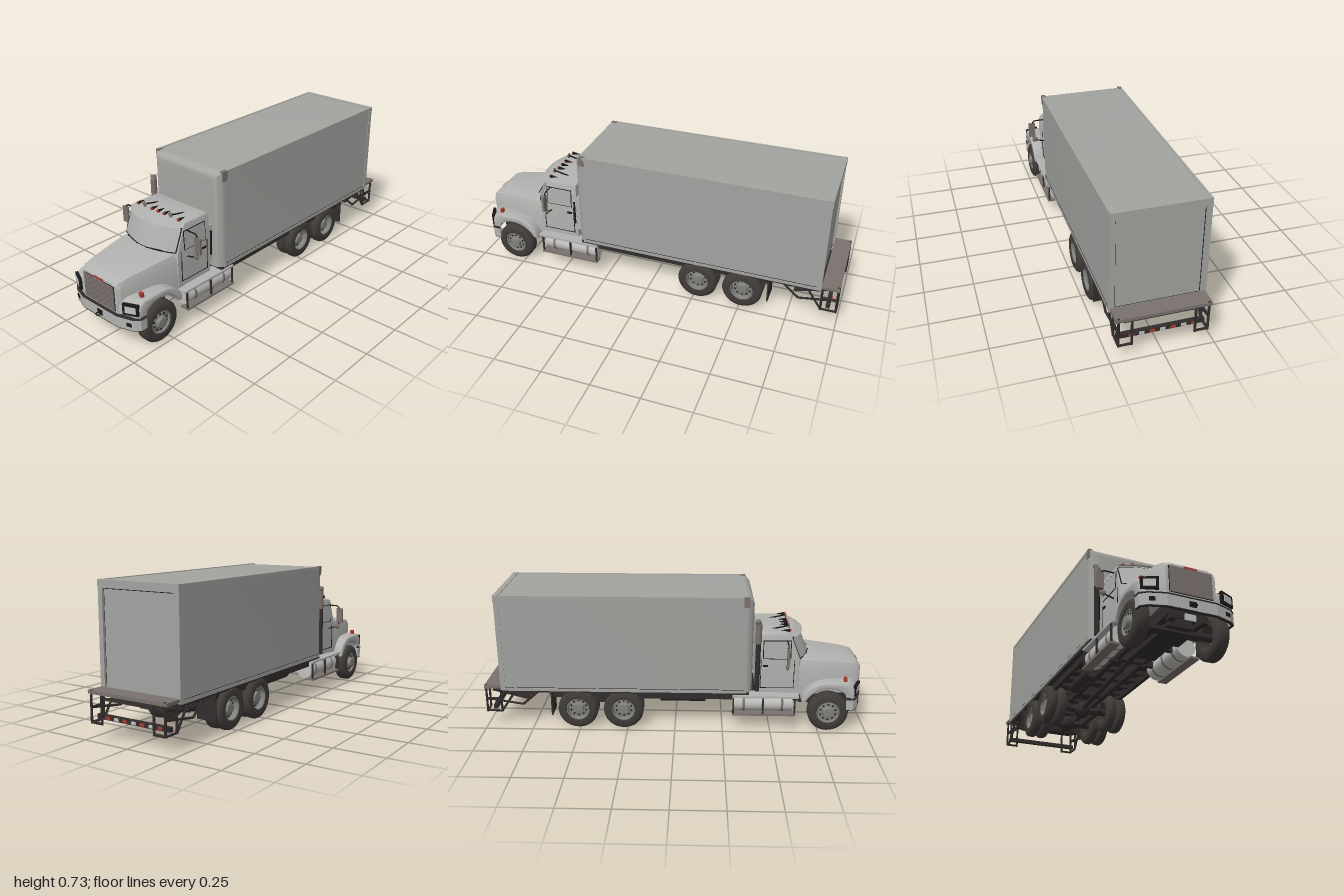
import * as THREE from 'three';
import { mergeGeometries, toCreasedNormals } from 'three/addons/utils/BufferGeometryUtils.js';

const flat = (name, color) => new THREE.MeshStandardMaterial({ name, color });

export function createModel() {
  const paint = flat('cab paint', 0xb2b2b0), panel = flat('cargo panel', 0xa3a3a0);
  const trim = flat('brown trim', 0x7a716d), frame = flat('dark frame', 0x322d2c);
  const rubber = flat('tyre rubber', 0x413c3a), rim = flat('wheel rim', 0x80807d);
  const black = flat('black detail', 0x181818), red = flat('red lamp', 0xa83a30);
  const glass = flat('glass', 0xadadab), steel = flat('bright steel', 0xc0c0be);
  glass.side = black.side = THREE.DoubleSide;

  const truck = new THREE.Group();
  truck.name = 'boxTruck';

  // ---- helpers ----
  const add = (name, geo, mat) => {
    const mesh = new THREE.Mesh(geo, mat);
    mesh.name = name;
    truck.add(mesh);
    return mesh;
  };
  const mirrored = (geo) => {
    const g = geo.index ? geo.toNonIndexed() : geo.clone();
    g.scale(-1, 1, 1);
    for (const a of Object.values(g.attributes)) {
      const n = a.itemSize, arr = a.array;
      for (let i = 0; i < arr.length; i += 3 * n)
        for (let k = 0; k < n; k++)
          [arr[i + n + k], arr[i + 2 * n + k]] = [arr[i + 2 * n + k], arr[i + n + k]];
    }
    return g;
  };
  const pair = (name, geo, mat) => {
    add(name + 'Left', geo, mat);
    add(name + 'Right', mirrored(geo), mat);
  };
  // box given by its limits on each axis
  const box = (x0, x1, y0, y1, z0, z1) =>
    new THREE.BoxGeometry(x1 - x0, y1 - y0, z1 - z0).translate((x0 + x1) / 2, (y0 + y1) / 2, (z0 + z1) / 2);
  // round bar between two points
  const bar = (a, b, r, sides = 8) => {
    const p = new THREE.Vector3(...a), q = new THREE.Vector3(...b), d = q.clone().sub(p);
    const g = new THREE.CylinderGeometry(r, r, d.length(), sides);
    g.applyQuaternion(new THREE.Quaternion().setFromUnitVectors(new THREE.Vector3(0, 1, 0), d.normalize()));
    return g.translate(...p.add(q).multiplyScalar(0.5).toArray());
  };
  // skin through rings of equal length, capped at both ends
  const loft = (rings, crease = 0.6, caps = true) => {
    const v = [], n = rings[0].length, last = rings.length - 1;
    const tri = (...p) => p.forEach((q) => v.push(...q));
    for (let i = 0; i < last; i++)
      for (let j = 0; j < n - (caps ? 0 : 1); j++) {
        const k = (j + 1) % n, a = rings[i], b = rings[i + 1];
        tri(a[j], a[k], b[k]);
        tri(a[j], b[k], b[j]);
      }
    if (caps) for (let j = 1; j < n - 1; j++) {
      tri(rings[0][0], rings[0][j + 1], rings[0][j]);
      tri(rings[last][0], rings[last][j], rings[last][j + 1]);
    }
    const g = new THREE.BufferGeometry();
    g.setAttribute('position', new THREE.Float32BufferAttribute(v, 3));
    g.computeVertexNormals();
    return toCreasedNormals(g, crease);
  };

  // ---- cargo box with rounded front edges ----
  const boxRing = (hw, top, z) => [[-hw, 0.215, z], [hw, 0.215, z], [hw, top, z], [-hw, top, z]];
  const boxRings = [boxRing(0.227, 0.724, -0.895)], R = 0.045;
  for (let i = 0; i <= 8; i++) {
    const a = (i / 8) * Math.PI / 2;
    boxRings.push(boxRing(0.227 - R + R * Math.cos(a), 0.724 - R + R * Math.cos(a), 0.355 + R * Math.sin(a)));
  }
  add('cargoBox', loft(boxRings), panel);
  pair('cornerCap', box(0.209, 0.23, 0.677, 0.727, 0.345, 0.375), trim);
  pair('topRail', box(0.22, 0.23, 0.712, 0.727, -0.9, 0.355), panel);
  pair('bottomRail', box(0.22, 0.23, 0.212, 0.228, -0.9, 0.37), panel);
  pair('bottomSeam', box(0.226, 0.2285, 0.229, 0.231, -0.89, 0.36), black);
  pair('rearPost', box(0.205, 0.23, 0.215, 0.727, -0.91, -0.885), panel);
  add('rearHeader', box(-0.23, 0.23, 0.69, 0.728, -0.912, -0.885), panel);
  add('rearDoor', box(-0.2, 0.2, 0.235, 0.685, -0.901, -0.89), panel);
  add('rearDoorGap', box(-0.205, 0.205, 0.23, 0.69, -0.898, -0.89), black);
  add('cargoFloor', box(-0.222, 0.222, 0.2, 0.215, -0.9, 0.385), frame);

  // ---- chassis ----
  pair('frameRail', box(0.06, 0.085, 0.14, 0.2, -0.75, 0.92), frame);
  pair('outerSill', box(0.18, 0.2, 0.165, 0.2, -0.65, 0.3), frame);
  const cross = [];
  for (let z = -0.85; z < 0.37; z += 0.1) cross.push(box(-0.2, 0.2, 0.18, 0.2, z - 0.01, z + 0.01));
  for (let z = -0.65; z < 0.9; z += 0.25) cross.push(box(-0.07, 0.07, 0.145, 0.185, z - 0.015, z + 0.015));
  add('crossMembers', mergeGeometries(cross), frame);
  add('driveShaft', bar([0, 0.16, 0.45], [0, 0.11, -0.27], 0.013, 12), frame);
  add('engineSump', box(-0.06, 0.06, 0.1, 0.2, 0.5, 0.86), frame);
  add('airTank', bar([-0.12, 0.15, -0.08], [-0.12, 0.15, 0.16], 0.03, 20), frame);
  pair('leafSpring', box(0.085, 0.11, 0.1, 0.125, -0.55, -0.23), frame);
  pair('frontSpring', box(0.07, 0.1, 0.11, 0.13, 0.66, 0.93), frame);
  pair('mudFlap', box(0.12, 0.228, 0.075, 0.205, -0.65, -0.643), frame);

  // ---- wheels and axles ----
  const lathe = (pts) => new THREE.LatheGeometry(pts.map((p) => new THREE.Vector2(...p)), 36).rotateZ(-Math.PI / 2);
  const tyre = (w) => toCreasedNormals(lathe([[0.06, -w / 2], [0.085, -w / 2 - 0.002], [0.1, -w / 2 + 0.006], [0.105, -w / 2 + 0.014],
    [0.105, w / 2 - 0.014], [0.1, w / 2 - 0.006], [0.085, w / 2 + 0.002], [0.06, w / 2], [0.06, -w / 2]]), 0.7);
  const wheel = (name, z, tyres, hub) => {
    tyres.forEach(([x, w], i) => pair(name + 'Tyre' + i, tyre(w).translate(x, 0.107, z), rubber));
    const face = hub > 0 ? -0.008 : -0.025;
    const disc = lathe([[0.062, -0.045], [0.062, 0], [0.056, 0.002], [0.052, face], [0.03, face + 0.004], [0.026, hub + 0.012], [0, hub + 0.014]]);
    pair(name + 'Rim', toCreasedNormals(disc, 0.5).translate(0.222, 0.107, z), rim);
    const nuts = [];
    for (let i = 0; i < 10; i++) {
      const a = (i / 10) * Math.PI * 2;
      nuts.push(new THREE.CylinderGeometry(0.005, 0.005, 0.006, 8).rotateZ(Math.PI / 2)
        .translate(0.223 + face, 0.107 + 0.041 * Math.cos(a), z + 0.041 * Math.sin(a)));
    }
    pair(name + 'Bolts', mergeGeometries(nuts), black);
    add(name + 'Axle', bar([-0.19, 0.107, z], [0.19, 0.107, z], 0.018, 12), frame);
  };
  wheel('frontWheel', 0.8, [[0.195, 0.066]], 0.002);
  for (const [name, z] of [['middleWheel', -0.27], ['rearWheel', -0.51]]) {
    wheel(name, z, [[0.145, 0.05], [0.202, 0.05]], -0.018);
    add(name + 'Differential', new THREE.SphereGeometry(0.045, 20, 14).translate(0, 0.105, z), frame);
  }

  // ---- cab: horizontal slices with a bowed front ----
  const arc = (y, hw, zs, zc) => Array.from({ length: 11 }, (_, i) => {
    const u = i / 5 - 1;
    return [u * hw, y, zs + (zc - zs) * (1 - u * u)];
  });
  const cabRing = (y, hw, zs, zc, zb) => [...arc(y, hw, zs, zc), [hw, y, zb], [-hw, y, zb]];
  add('cab', loft([cabRing(0.2, 0.18, 0.64, 0.69, 0.425), cabRing(0.385, 0.183, 0.64, 0.695, 0.425),
    cabRing(0.505, 0.176, 0.592, 0.645, 0.425), cabRing(0.518, 0.172, 0.58, 0.635, 0.428), cabRing(0.524, 0.155, 0.56, 0.61, 0.44)]), paint);
  const shield = (t, hw, y0, y1) => {
    const at = (y) => arc(y, hw, 0.643 - (y - 0.385) * 0.4 + t, 0.695 - (y - 0.385) * 0.415 + t);
    return loft([at(y0), at(y1)], 0.6, false);
  };
  add('windshieldSeal', shield(0.003, 0.177, 0.387, 0.503), black);
  add('windshield', shield(0.006, 0.172, 0.392, 0.499), glass);
  add('sunVisor', loft([arc(0.505, 0.177, 0.615, 0.668), arc(0.523, 0.165, 0.57, 0.615)], 0.6, false), glass);
  pair('wiper', bar([0.03, 0.392, 0.701], [0.12, 0.398, 0.681], 0.0025), black);

  // doors, side windows and handles
  const sidePlate = (x, w, h, y, z) => new THREE.BoxGeometry(0.003, h, w).rotateZ(0.058).translate(x, y, z);
  pair('windowSeal', sidePlate(0.1805, 0.145, 0.1, 0.437, 0.525), black);
  pair('sideWindow', sidePlate(0.1818, 0.137, 0.093, 0.437, 0.525), glass);
  pair('doorGap', mergeGeometries([box(0.178, 0.184, 0.225, 0.385, 0.443, 0.446), box(0.178, 0.184, 0.225, 0.385, 0.615, 0.618),
    box(0.176, 0.182, 0.225, 0.228, 0.443, 0.618)]), black);
  pair('doorHandle', box(0.182, 0.188, 0.345, 0.355, 0.455, 0.48), black);
  pair('grabBar', bar([0.196, 0.3, 0.43], [0.196, 0.43, 0.43], 0.005), black);

  // mirrors on tubular brackets
  pair('mirrorBracket', new THREE.TubeGeometry(new THREE.CatmullRomCurve3([[0.175, 0.485, 0.575], [0.235, 0.484, 0.575],
    [0.248, 0.47, 0.575], [0.248, 0.38, 0.575], [0.23, 0.36, 0.575], [0.18, 0.345, 0.575]].map((p) => new THREE.Vector3(...p)), false, 'catmullrom', 0.2), 30, 0.0035, 6), black);
  pair('mirror', box(0.235, 0.271, 0.385, 0.47, 0.57, 0.582), trim);
  pair('convexMirror', new THREE.SphereGeometry(0.016, 16, 10).scale(1, 1, 0.5).translate(0.238, 0.365, 0.575), trim);

  // roof lamps and horns
  [-0.14, -0.042, 0, 0.042, 0.14].forEach((x, i) => {
    add('roofLampBase' + i, new THREE.ConeGeometry(0.009, 0.045, 10).rotateX(-Math.PI / 2).translate(x, 0.53, 0.565), black);
    add('roofLamp' + i, new THREE.SphereGeometry(0.008, 10, 8).translate(x, 0.531, 0.588), red);
  });
  pair('hornStem', bar([0.09, 0.52, 0.5], [0.09, 0.54, 0.59], 0.004), black);
  pair('hornPlate', new THREE.BoxGeometry(0.02, 0.022, 0.006).rotateZ(0.5).translate(0.09, 0.54, 0.59), trim);

  // exhaust stack
  add('exhaustMuffler', bar([-0.205, 0.22, 0.425], [-0.205, 0.5, 0.425], 0.013, 16), frame);
  add('exhaustStack', bar([-0.203, 0.48, 0.425], [-0.203, 0.585, 0.425], 0.016, 16), trim);
  add('exhaustTip', bar([-0.203, 0.58, 0.425], [-0.211, 0.604, 0.418], 0.014, 16), trim);
  add('airIntake', box(0.1, 0.18, 0.25, 0.45, 0.405, 0.425), paint);

  // ---- hood ----
  const hoodRing = (z, hb, ys, ht, yt) => [[-hb, 0.19, z], [hb, 0.19, z], [hb, ys, z], [(hb + ht * 2) / 3, yt - 0.008, z], [ht * 0.8, yt, z],
    [-ht * 0.8, yt, z], [-(hb + ht * 2) / 3, yt - 0.008, z], [-hb, ys, z]];
  add('hood', loft([hoodRing(0.6, 0.178, 0.345, 0.158, 0.386), hoodRing(0.68, 0.178, 0.34, 0.155, 0.385), hoodRing(0.8, 0.16, 0.33, 0.14, 0.374),
    hoodRing(0.91, 0.142, 0.325, 0.125, 0.362), hoodRing(0.95, 0.132, 0.32, 0.118, 0.352), hoodRing(0.966, 0.12, 0.315, 0.108, 0.336)]), paint);
  add('grillePanel', box(-0.106, 0.106, 0.198, 0.326, 0.95, 0.968), black);
  const slats = [];
  for (let i = 0; i < 13; i++) slats.push(box(-0.103 + i * 0.016, -0.089 + i * 0.016, 0.2, 0.324, 0.96, 0.972));
  add('grilleSlats', mergeGeometries(slats), trim);
  add('hoodMarker', box(-0.032, 0.032, 0.326, 0.335, 0.96, 0.97), red);

  // ---- front fenders: side profile with a wheel arch, swept back outwards ----
  const f = new THREE.Shape();
  f.moveTo(0.967, 0.19);
  f.lineTo(0.965, 0.235);
  f.quadraticCurveTo(0.955, 0.268, 0.915, 0.27);
  f.lineTo(0.79, 0.272);
  f.quadraticCurveTo(0.7, 0.268, 0.665, 0.2);
  f.lineTo(0.66, 0.165);
  f.lineTo(0.678, 0.165);
  f.absarc(0.8, 0.107, 0.133, Math.PI - 0.44, 0.68, true);
  f.closePath();
  const fender = new THREE.ExtrudeGeometry(f, { depth: 0.112, bevelEnabled: true, bevelThickness: 0.008, bevelSize: 0.006, bevelOffset: -0.006, bevelSegments: 3, curveSegments: 18 });
  fender.rotateY(-Math.PI / 2).translate(0.22, 0, 0);
  const fp = fender.attributes.position;
  for (let i = 0; i < fp.count; i++) {
    const z = fp.getZ(i), s = Math.max(0, (fp.getX(i) - 0.1) / 0.13);
    if (z > 0.88) fp.setZ(i, z - 0.042 * s * s * Math.min(1, (z - 0.88) / 0.06));
  }
  fender.computeVertexNormals();
  pair('fender', toCreasedNormals(fender, 0.6), paint);
  const lamp = (w, h, d, out) => new THREE.BoxGeometry(w, h, d).rotateY(0.42).translate(0.187 + out * 0.4, 0.231, 0.944 + out);
  pair('headlightBezel', lamp(0.08, 0.058, 0.014, 0), black);
  pair('headlight', lamp(0.054, 0.034, 0.008, 0.005), steel);
  pair('turnSignal', box(0.183, 0.203, 0.273, 0.295, 0.875, 0.89), red);

  // ---- front bumper ----
  const plan = new THREE.Shape([[-0.23, 0.89], [-0.23, 0.925], [-0.2, 0.95], [-0.12, 0.975], [0.12, 0.975], [0.2, 0.95], [0.23, 0.925], [0.23, 0.89],
    [0.218, 0.89], [0.218, 0.92], [0.19, 0.938], [0.12, 0.96], [-0.12, 0.96], [-0.19, 0.938], [-0.218, 0.92], [-0.218, 0.89]].map((p) => new THREE.Vector2(...p)));
  const slab = (h, top) => new THREE.ExtrudeGeometry(plan, { depth: h, bevelEnabled: false }).rotateX(Math.PI / 2).translate(0, top, 0);
  add('bumper', slab(0.055, 0.18), paint);
  add('bumperTopEdge', slab(0.004, 0.186).scale(1.008, 1, 1.002), frame);
  add('bumperBottomEdge', slab(0.004, 0.126), frame);
  pair('bumperSlot', new THREE.BoxGeometry(0.026, 0.018, 0.004).rotateY(0.3).translate(0.182, 0.153, 0.957), black);
  add('towOpening', box(-0.017, 0.017, 0.14, 0.166, 0.97, 0.978), black);
  add('towHook', new THREE.TorusGeometry(0.012, 0.003, 8, 16).rotateX(Math.PI / 2).translate(0, 0.146, 0.985), black);
  add('frontPlate', box(-0.027, 0.027, 0.09, 0.12, 0.945, 0.95), steel);
  add('frontBeam', box(-0.13, 0.13, 0.09, 0.108, 0.78, 0.83), frame);
  pair('frontHanger', box(0.06, 0.09, 0.095, 0.15, 0.9, 0.94), frame);

  // ---- side tanks and steps ----
  pair('fuelTank', bar([0.168, 0.142, 0.305], [0.168, 0.142, 0.615], 0.048, 28), steel);
  pair('tankStrap', mergeGeometries([0.36, 0.46, 0.56].map((z) => bar([0.168, 0.142, z - 0.006], [0.168, 0.142, z + 0.006], 0.05, 28))), trim);
  pair('upperStep', box(0.15, 0.226, 0.184, 0.195, 0.3, 0.645), paint);
  pair('lowerStep', box(0.18, 0.228, 0.085, 0.095, 0.3, 0.63), trim);
  pair('stepBracket', mergeGeometries([0.305, 0.46, 0.625].map((z) => box(0.216, 0.224, 0.09, 0.19, z - 0.004, z + 0.004))), frame);
  pair('tankMount', mergeGeometries([0.36, 0.56].map((z) => box(0.07, 0.14, 0.13, 0.16, z - 0.01, z + 0.01))), frame);

  // ---- rear platform with ladder frames ----
  add('rearPlatform', box(-0.226, 0.226, 0.222, 0.238, -0.998, -0.91), trim);
  const X = 0.212;
  const rails = [[[X, 0.085, -0.992], [X, 0.24, -0.992]], [[X, 0.085, -0.915], [X, 0.23, -0.915]], [[X, 0.09, -0.992], [X, 0.09, -0.915]],
    [[X, 0.16, -0.992], [X, 0.16, -0.915]], [[X, 0.16, -0.992], [X, 0.13, -0.8]], [[X, 0.09, -0.915], [X, 0.2, -0.84]],
    [[X, 0.13, -0.8], [X, 0.2, -0.72]], [[0.15, 0.085, -0.992], [0.15, 0.225, -0.992]], [[0.15, 0.09, -0.992], [X, 0.09, -0.992]]];
  pair('ladderFrame', mergeGeometries(rails.map(([a, b]) => bar(a, b, 0.006, 6))), frame);
  add('liftPlate', new THREE.BoxGeometry(0.36, 0.012, 0.2).rotateX(0.25).translate(0, 0.172, -0.87), frame);
  add('underrideBar', box(-0.21, 0.21, 0.1, 0.122, -0.96, -0.94), frame);
  for (let i = 0; i < 7; i++) add('reflector' + i, box(-0.17 + i * 0.05, -0.145 + i * 0.05, 0.104, 0.118, -0.964, -0.958), i % 2 ? steel : red);

  return truck;
}
